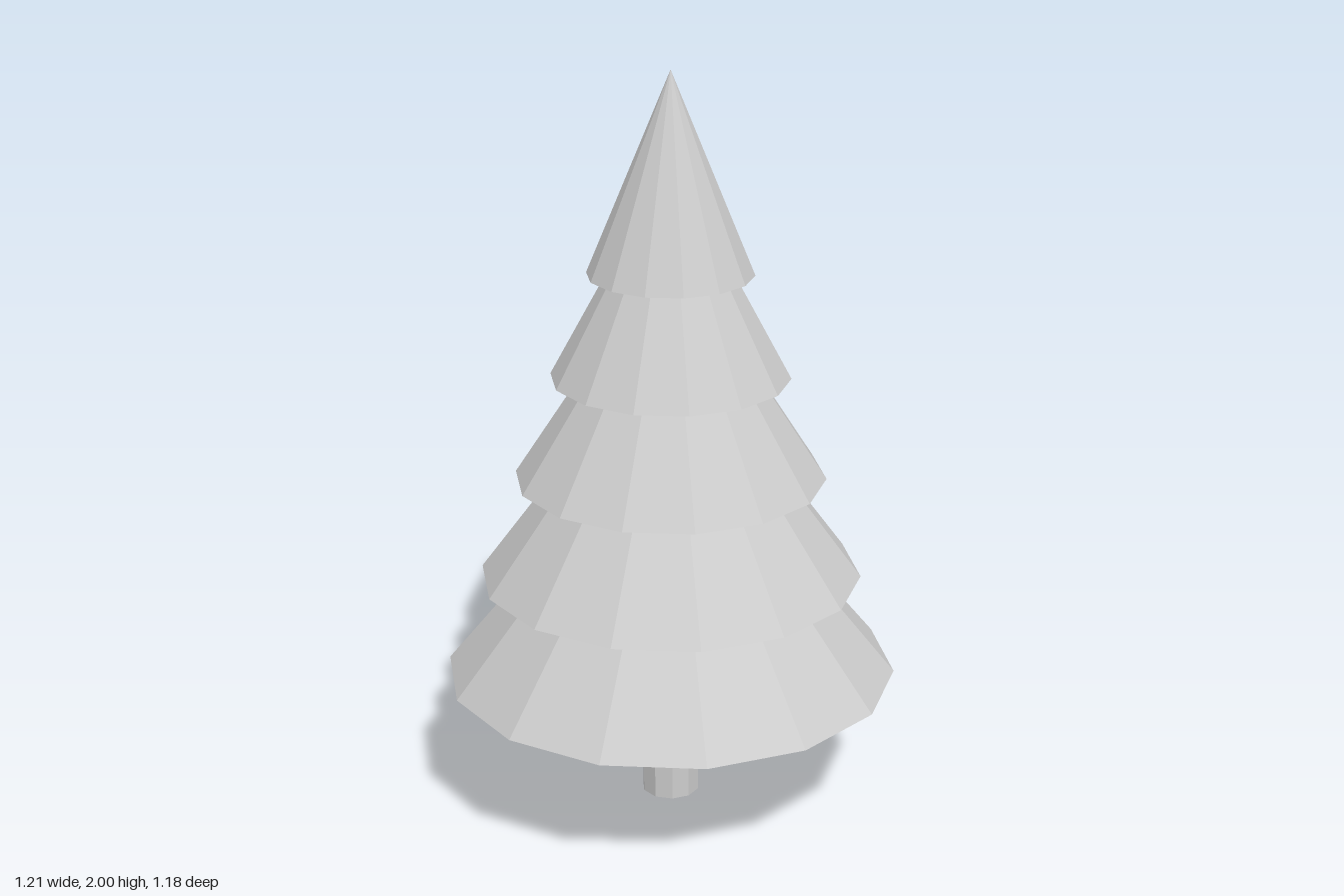
import * as THREE from 'three';

export function createModel() {
  const tree = new THREE.Group();
  tree.name = 'firTree';
  const lightGrey = new THREE.MeshStandardMaterial({ color: 0xcccccc, flatShading: true });
  lightGrey.name = 'lightGrey';

  // Both polygons have a corner on the x axis
  const cornerOnX = Math.PI / 2;

  // Ten-sided trunk, reaching just into the lowest tier
  const trunkHeight = 0.38;
  const trunk = new THREE.Mesh(
    new THREE.CylinderGeometry(0.078, 0.078, trunkHeight, 10, 1, false, cornerOnX), lightGrey);
  trunk.name = 'trunk';
  trunk.position.y = trunkHeight / 2;
  tree.add(trunk);

  // Five overlapping fourteen-sided cones, narrower and shorter towards the top
  const tiers = 5;
  for (let i = 0; i < tiers; i++) {
    const t = i / (tiers - 1);
    const base = THREE.MathUtils.lerp(0.372, 1.474, t);
    const radius = THREE.MathUtils.lerp(0.604, 0.217, t);
    const height = THREE.MathUtils.lerp(0.74, 0.526, t);
    const tier = new THREE.Mesh(
      new THREE.ConeGeometry(radius, height, 14, 1, false, cornerOnX), lightGrey);
    tier.name = `branchTier${i + 1}`;
    tier.position.y = base + height / 2;
    tree.add(tier);
  }
  return tree;
}
